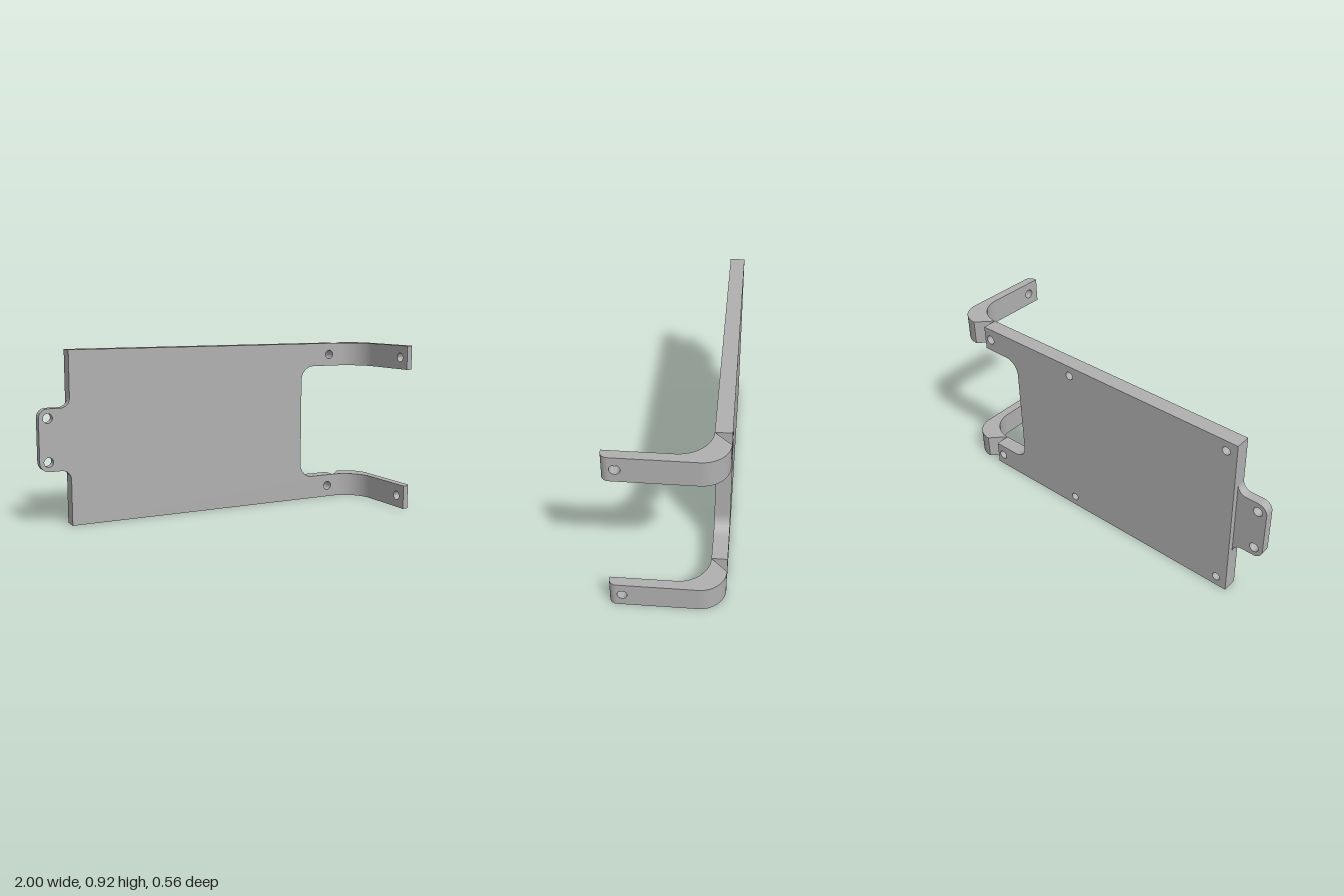
import * as THREE from 'three';
import { toCreasedNormals } from 'three/addons/utils/BufferGeometryUtils.js';

const H = 0.922;            // overall height
const ARM = 0.132;          // height of each arm
const FRONT = -0.2, BACK = -0.28;
const HOLE = 0.025;

export function createModel() {
  const group = new THREE.Group();
  const grey = new THREE.MeshStandardMaterial({ color: 0xb0b0b0 });
  grey.name = 'plain grey';

  const extrude = (shape, depth) =>
    new THREE.ExtrudeGeometry(shape, { depth, bevelEnabled: false, curveSegments: 16 });
  const add = (name, geometry) => {
    const mesh = new THREE.Mesh(toCreasedNormals(geometry, 0.5), grey);
    mesh.name = name;
    group.add(mesh);
  };
  const drill = (shape, points, r = HOLE) => {
    for (const [x, y] of points) {
      shape.holes.push(new THREE.Path().absarc(x, y, r, 0, Math.PI * 2, true));
    }
    return shape;
  };
  const mirrored = (x, y) => [[x, y], [x, H - y]];

  // Plate with a rounded cutout between two tongues
  const plateShape = () => {
    const s = new THREE.Shape();
    s.moveTo(-0.835, 0);
    s.lineTo(0.79, 0);
    s.lineTo(0.79, ARM);
    s.absarc(0.64, ARM + 0.08, 0.08, -Math.PI / 2, -Math.PI, true);
    s.absarc(0.64, H - ARM - 0.08, 0.08, Math.PI, Math.PI / 2, true);
    s.lineTo(0.79, H - ARM);
    s.lineTo(0.79, H);
    s.lineTo(-0.835, H);
    s.closePath();
    return drill(s, mirrored(0.75, 0.066));
  };
  // The small holes are blind: they only pierce the rear layer
  const rear = drill(plateShape(), [...mirrored(0.18, 0.056), ...mirrored(-0.775, 0.056)], 0.022);
  add('plateRear', extrude(rear, 0.05).translate(0, 0, BACK));
  add('plateFront', extrude(plateShape(), 0.03).translate(0, 0, BACK + 0.05));

  // Thin mounting tab with filleted roots and rounded corners
  const lo = 0.297, hi = H - 0.297, r = 0.05;
  const tab = new THREE.Shape();
  tab.moveTo(-0.835, hi + r);
  tab.absarc(-0.835 - r, hi + r, r, 0, -Math.PI / 2, true);
  tab.absarc(-1 + r, hi - r, r, Math.PI / 2, Math.PI, false);
  tab.absarc(-1 + r, lo + r, r, Math.PI, Math.PI * 1.5, false);
  tab.absarc(-0.835 - r, lo - r, r, Math.PI / 2, 0, true);
  tab.closePath();
  drill(tab, mirrored(-0.952, 0.347));
  add('mountingTab', extrude(tab, 0.048).translate(0, 0, FRONT - 0.048));

  // Arm bend and tip, drawn in x/z and extruded upwards
  const bend = new THREE.Shape();
  bend.moveTo(0.79, BACK);
  bend.absarc(0.87, BACK + 0.13, 0.13, -Math.PI / 2, 0, false);
  bend.lineTo(1, -0.04);
  bend.absarc(0.79, -0.04, 0.16, 0, -Math.PI / 2, true);
  bend.closePath();

  const tip = new THREE.Shape();
  tip.moveTo(0.95, 0.243);
  tip.lineTo(1, 0.243);
  tip.absarc(0.963, 0.243, 0.037, 0, Math.PI / 2, false);
  tip.lineTo(0.95, 0.28);
  tip.closePath();

  // Straight leg with its hole, drawn in z/y and extruded across
  const leg = new THREE.Shape();
  leg.moveTo(-0.04, 0);
  leg.lineTo(0.243, 0);
  leg.lineTo(0.243, ARM);
  leg.lineTo(-0.04, ARM);
  leg.closePath();
  drill(leg, [[0.215, ARM / 2]]);

  for (const [side, y] of [['lower', 0], ['upper', H - ARM]]) {
    const upright = (shape) => extrude(shape, ARM).rotateX(Math.PI / 2).translate(0, y + ARM, 0);
    add(side + 'ArmBend', upright(bend));
    add(side + 'ArmTip', upright(tip));
    add(side + 'ArmLeg', extrude(leg, 0.05).rotateY(-Math.PI / 2).translate(1, y, 0));
  }
  return group;
}
